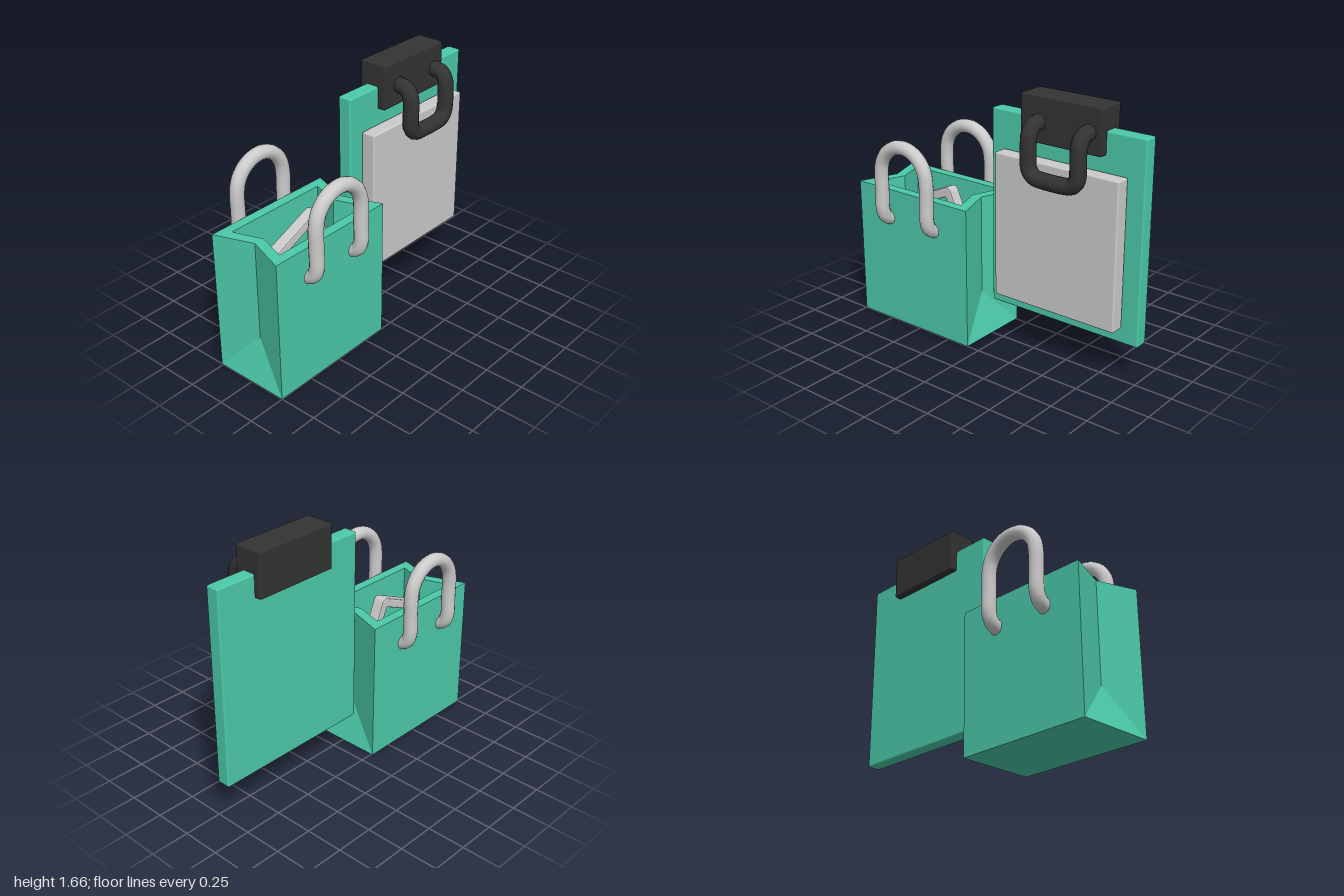
import * as THREE from 'three';
import { RoundedBoxGeometry } from 'three/addons/geometries/RoundedBoxGeometry.js';

const mat = (color) => new THREE.MeshStandardMaterial({ color });
const teal = mat(0x4ccaa9), grey = mat(0xcccccc), black = mat(0x333333);

function add(parent, name, geometry, material) {
  const mesh = new THREE.Mesh(geometry, material);
  mesh.name = name;
  parent.add(mesh);
  return mesh;
}

// Softly bevelled box given by its limits on each axis
function slab(parent, name, material, [x0, x1], [y0, y1], [z0, z1]) {
  const geo = new RoundedBoxGeometry(x1 - x0, y1 - y0, z1 - z0, 2, 0.012);
  add(parent, name, geo, material).position.set((x0 + x1) / 2, (y0 + y1) / 2, (z0 + z1) / 2);
}

function tube(points, radius, segments) {
  const curve = new THREE.CatmullRomCurve3(points.map((p) => new THREE.Vector3(...p)), false, 'centripetal');
  return new THREE.TubeGeometry(curve, segments, radius, 14);
}

// Six-point ring: four corners plus a side fold in the middle of each end
const ring = (y, hx, hz, fold) => [
  [-hx, y, hz], [hx, y, hz], [fold, y, 0], [hx, y, -hz], [-hx, y, -hz], [-fold, y, 0],
];

// Paper bag shell: outside, rim, inside and floors, with gusseted ends
function bagGeometry() {
  const rings = [
    ring(0, 0.455, 0.255, 0.455),
    ring(0.27, 0.455, 0.255, 0.365),
    ring(0.92, 0.455, 0.255, 0.365),
    ring(0.92, 0.36, 0.19, 0.297),
    ring(0.06, 0.345, 0.175, 0.285),
  ];
  const pos = [];
  const tri = (a, b, c) => pos.push(...a, ...b, ...c);
  for (let r = 0; r < rings.length - 1; r++) {
    const lo = rings[r], hi = rings[r + 1];
    for (let i = 0; i < 6; i++) {
      const j = (i + 1) % 6;
      // diagonals always run from a lower corner to an upper fold point
      if (i === 2 || i === 5) {
        tri(lo[i], lo[j], hi[i]);
        tri(lo[j], hi[j], hi[i]);
      } else {
        tri(lo[i], lo[j], hi[j]);
        tri(lo[i], hi[j], hi[i]);
      }
    }
  }
  const bottom = rings[0], floor = rings[4];
  for (let i = 0; i < 6; i++) {
    const j = (i + 1) % 6;
    tri([0, 0, 0], bottom[j], bottom[i]);
    tri([0, 0.06, 0], floor[i], floor[j]);
  }
  const geo = new THREE.BufferGeometry();
  geo.setAttribute('position', new THREE.Float32BufferAttribute(pos, 3));
  geo.computeVertexNormals();
  return geo;
}

// Arched handle whose feet bend back into the bag wall
function handleGeometry() {
  const foot = [[0.72, 0.2], [0.725, 0.25], [0.75, 0.292], [0.8, 0.312], [0.93, 0.312]];
  const points = foot.map(([y, z]) => [-0.19, y, z]);
  for (let i = 0; i <= 8; i++) {
    const a = Math.PI * (1 - i / 8);
    points.push([0.19 * Math.cos(a), 1.055 + 0.19 * Math.sin(a), 0.312]);
  }
  points.push(...foot.reverse().map(([y, z]) => [0.19, y, z]));
  return tube(points, 0.045, 56);
}

// Rounded rectangle traced from its lower-left corner
function roundedRect(path, x, y, w, h, r) {
  path.moveTo(x + r, y);
  path.lineTo(x + w - r, y);
  path.quadraticCurveTo(x + w, y, x + w, y + r);
  path.lineTo(x + w, y + h - r);
  path.quadraticCurveTo(x + w, y + h, x + w - r, y + h);
  path.lineTo(x + r, y + h);
  path.quadraticCurveTo(x, y + h, x, y + h - r);
  path.lineTo(x, y + r);
  path.quadraticCurveTo(x, y, x + r, y);
  return path;
}

// Flat frame with its upper right corner at the origin
function frameGeometry() {
  const shape = roundedRect(new THREE.Shape(), -0.45, -0.42, 0.45, 0.42, 0.04);
  shape.holes.push(roundedRect(new THREE.Path(), -0.39, -0.36, 0.33, 0.3, 0.01));
  const geo = new THREE.ExtrudeGeometry(shape, {
    depth: 0.06, bevelThickness: 0.01, bevelSize: 0.01, bevelOffset: -0.01, bevelSegments: 2, curveSegments: 5,
  });
  return geo.translate(0, 0, -0.03);
}

export function createModel() {
  const model = new THREE.Group();
  model.name = 'bagAndClipboard';

  // Shopping bag
  const bag = new THREE.Group();
  bag.name = 'shoppingBag';
  bag.position.set(-0.545, 0, -0.005);
  model.add(bag);
  add(bag, 'bagShell', bagGeometry(), teal);
  const handle = handleGeometry();
  for (const [name, turn] of [['frontHandle', 0], ['backHandle', Math.PI]]) {
    const mesh = add(bag, name, handle, grey);
    mesh.position.x = -0.005;
    mesh.rotation.y = turn;
  }

  // Tilted frame resting inside the bag
  const frame = add(bag, 'frameInBag', frameGeometry(), grey);
  frame.position.set(0.125, 0.945, -0.005);
  frame.rotation.z = THREE.MathUtils.degToRad(23);

  // Clipboard
  const clipboard = new THREE.Group();
  clipboard.name = 'clipboard';
  model.add(clipboard);
  slab(clipboard, 'board', teal, [-0.09, 1], [0.24, 1.52], [-0.1, -0.008]);
  slab(clipboard, 'paper', grey, [0.01, 0.892], [0.343, 1.28], [-0.002, 0.094]);
  slab(clipboard, 'clip', black, [0.165, 0.736], [1.375, 1.663], [-0.145, 0.045]);

  // Wire loop hanging from the clip
  const half = [
    [0.175, 1.505, 0], [0.175, 1.505, 0.06], [0.175, 1.495, 0.105], [0.175, 1.455, 0.135],
    [0.175, 1.4, 0.143], [0.175, 1.27, 0.143], [0.165, 1.235, 0.143], [0.135, 1.205, 0.143], [0.1, 1.197, 0.143],
  ];
  const mirrored = half.map(([x, y, z]) => [-x, y, z]).reverse();
  add(clipboard, 'clipLoop', tube([...half, ...mirrored], 0.05, 64), black).position.x = 0.475;

  return model;
}
